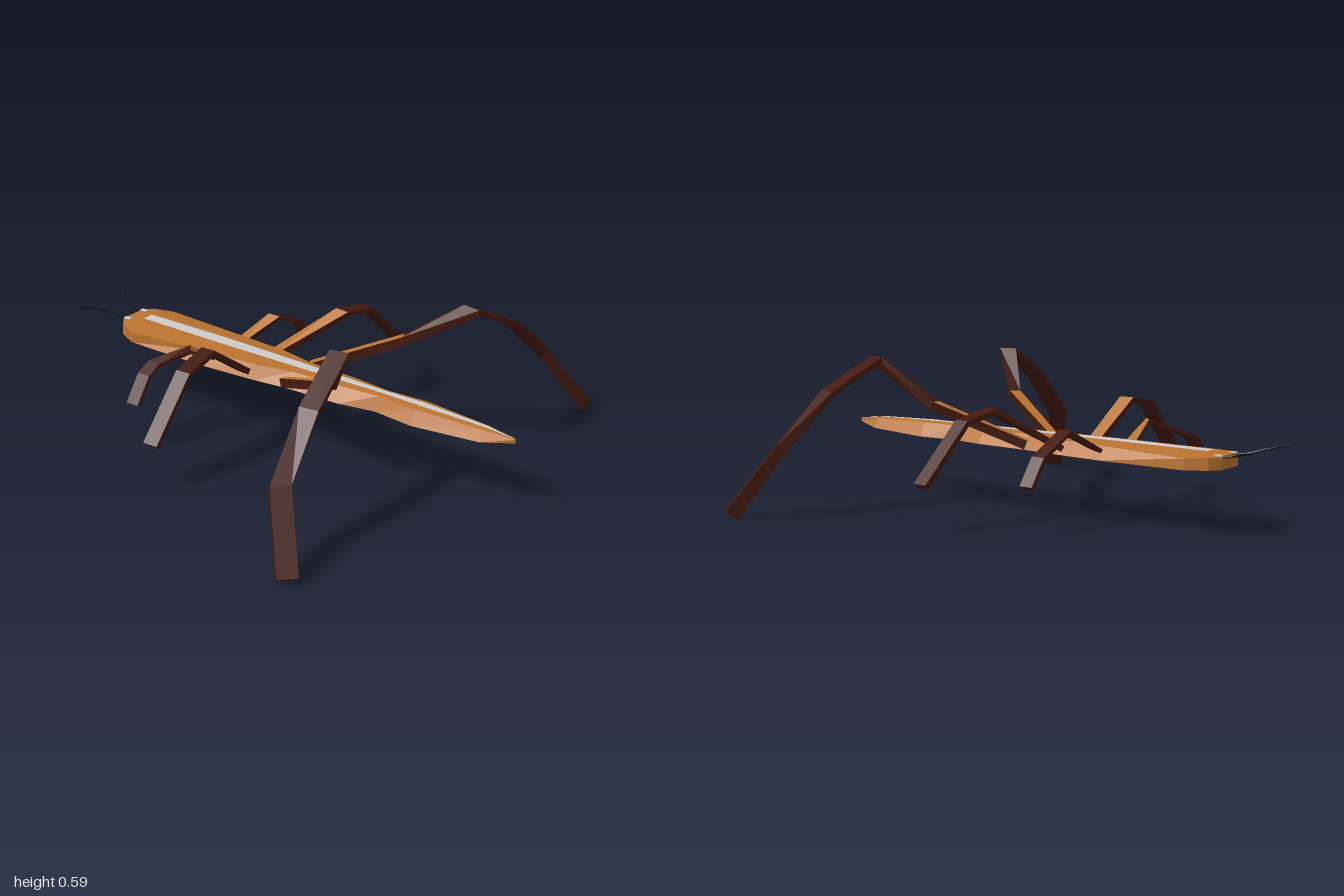
import * as THREE from 'three';

const V = (x, y, z) => new THREE.Vector3(x, y, z);
const material = (color) => new THREE.MeshStandardMaterial({ color, flatShading: true, side: THREE.DoubleSide });
const amber = material(0xb9722f);
const darkBrown = material(0x43190f);
const black = material(0x0c0c0c);
const grey = material(0xcccccc);

// Flat-faced skin over rows of points (all rows the same length)
function skin(name, rows, mat) {
  const pos = [];
  for (let i = 0; i < rows.length - 1; i++) {
    for (let j = 0; j < rows[i].length - 1; j++) {
      const a = rows[i][j], b = rows[i][j + 1], c = rows[i + 1][j], d = rows[i + 1][j + 1];
      for (const p of [a, b, c, b, d, c]) pos.push(p.x, p.y, p.z);
    }
  }
  const geometry = new THREE.BufferGeometry();
  geometry.setAttribute('position', new THREE.Float32BufferAttribute(pos, 3));
  geometry.computeVertexNormals();
  const mesh = new THREE.Mesh(geometry, mat);
  mesh.name = name;
  return mesh;
}

// Body stations: z, half width below, half width of ridge, bottom y, ridge y, crown y
const STATIONS = [
  [-0.83, 0.06, 0.06, 0.247, 0.295, 0.297],
  [-0.80, 0.10, 0.097, 0.247, 0.293, 0.299],
  [-0.72, 0.135, 0.132, 0.245, 0.288, 0.303],
  [-0.35, 0.135, 0.103, 0.245, 0.295, 0.304],
  [-0.10, 0.115, 0.085, 0.245, 0.298, 0.304],
  [0.05, 0.095, 0.055, 0.245, 0.300, 0.304],
  [0.28, 0.085, 0.045, 0.245, 0.300, 0.304],
  [0.43, 0.055, 0.030, 0.245, 0.300, 0.304],
  [0.60, 0.072, 0.042, 0.245, 0.300, 0.304],
  [0.88, 0.045, 0.022, 0.254, 0.293, 0.297],
  [1.00, 0.002, 0.001, 0.270, 0.284, 0.286],
];

function makeBody() {
  const body = new THREE.Group();
  body.name = 'body';
  const shell = STATIONS.map(([z, w, r, y0, y1, y2]) => [
    V(w, y0, z), V(r, y1, z), V(r * 0.4, y2, z), V(-r * 0.4, y2, z), V(-r, y1, z), V(-w, y0, z),
  ]);
  body.add(skin('bodyShell', shell, amber));
  body.add(skin('underside', STATIONS.map(([z, w, , y]) => [V(-w, y, z), V(w, y, z)]), grey));
  const [z, w, r, y0, y1, y2] = STATIONS[0];
  body.add(skin('headFront', [
    [V(w, y0, z), V(r * 0.4, y0, z), V(-r * 0.4, y0, z), V(-w, y0, z)],
    [V(r, y1, z), V(r * 0.4, y2, z), V(-r * 0.4, y2, z), V(-r, y1, z)],
  ], amber));
  // Pale stripe along the back: z, half width, y
  const stripe = [[-0.75, 0.025, 0.305], [-0.35, 0.028, 0.307], [0.05, 0.022, 0.307], [0.43, 0.012, 0.307],
    [0.6, 0.016, 0.307], [0.88, 0.008, 0.3], [1, 0.001, 0.288]];
  body.add(skin('backStripe', stripe.map(([sz, h, y]) => [V(h, y, sz), V(-h, y, sz)]), grey));
  return body;
}

// Leg: joints are [x, y, z, half width, half thickness] from body to foot
function makeLeg(name, joints) {
  const leg = new THREE.Group();
  leg.name = name;
  const p = joints.map(([x, y, z]) => V(x, y, z));
  const last = p.length - 1;
  const direction = (i) => p[i + 1].clone().sub(p[i]).normalize();
  let side, up;
  const rings = joints.map(([, , , w, h], i) => {
    const out = direction(Math.min(i, last - 1));
    const t = direction(Math.max(i - 1, 0)).add(out).normalize();
    side = out.clone().cross(V(0, 1, 0)).normalize();
    up = side.clone().cross(t).normalize();
    const corner = (a, b) => p[i].clone().addScaledVector(side, a * w).addScaledVector(up, b * h);
    return [corner(-1, 1), corner(1, 1), corner(1, -1), corner(-1, -1)];
  });
  // The thigh has an amber upper face, everything else is dark
  leg.add(skin('thighTop', rings.slice(0, 2).map((r) => r.slice(0, 2)), amber));
  leg.add(skin('thigh', rings.slice(0, 2).map((r) => [r[1], r[2], r[3], r[0]]), darkBrown));
  leg.add(skin('shin', rings.slice(1).map((r) => [...r, r[0]]), darkBrown));
  const f = rings[last];
  leg.add(skin('footEnd', [[f[3], f[0]], [f[2], f[1]]], darkBrown));
  return leg;
}

const LEGS = {
  leftHindLeg: [[0.09, 0.265, 0.03, 0.017, 0.018], [0.255, 0.41, 0.36, 0.022, 0.018], [0.31, 0.58, 0.615, 0.038, 0.012],
    [0.54, 0.465, 0.655, 0.038, 0.01], [0.755, 0.27, 0.693, 0.038, 0.022], [0.895, 0.02, 0.825, 0.038, 0.027]],
  rightHindLeg: [[-0.09, 0.265, 0.03, 0.017, 0.018], [-0.25, 0.41, 0.36, 0.022, 0.018], [-0.31, 0.58, 0.44, 0.038, 0.012],
    [-0.54, 0.465, 0.48, 0.038, 0.01], [-0.755, 0.27, 0.515, 0.038, 0.022], [-0.895, 0.02, 0.65, 0.038, 0.027]],
  leftMiddleLeg: [[0.105, 0.27, -0.15, 0.028, 0.012], [0.305, 0.42, 0.025, 0.031, 0.01],
    [0.46, 0.39, 0.04, 0.031, 0.01], [0.67, 0.177, 0.06, 0.031, 0.012]],
  rightMiddleLeg: [[-0.105, 0.27, -0.155, 0.028, 0.012], [-0.305, 0.42, -0.17, 0.031, 0.01],
    [-0.46, 0.39, -0.16, 0.031, 0.01], [-0.67, 0.177, -0.147, 0.031, 0.012]],
  leftFrontLeg: [[0.1, 0.275, -0.325, 0.025, 0.008], [0.225, 0.355, -0.258, 0.028, 0.007],
    [0.385, 0.275, -0.258, 0.028, 0.008], [0.455, 0.175, -0.258, 0.028, 0.01]],
  rightFrontLeg: [[-0.1, 0.275, -0.325, 0.025, 0.008], [-0.225, 0.355, -0.325, 0.028, 0.007],
    [-0.325, 0.303, -0.427, 0.028, 0.008], [-0.385, 0.275, -0.428, 0.028, 0.008], [-0.455, 0.175, -0.428, 0.028, 0.01]],
};

export function createModel() {
  const model = new THREE.Group();
  model.name = 'stickInsect';
  model.add(makeBody());
  for (const [name, joints] of Object.entries(LEGS)) model.add(makeLeg(name, joints));

  for (const s of [1, -1]) {
    // Curved feeler
    const path = new THREE.CatmullRomCurve3([
      V(s * 0.05, 0.29, -0.8), V(s * 0.048, 0.297, -0.87), V(s * 0.085, 0.318, -0.945), V(s * 0.135, 0.33, -1),
    ]);
    const antenna = new THREE.Mesh(new THREE.TubeGeometry(path, 10, 0.004, 5), black);
    antenna.name = s > 0 ? 'leftAntenna' : 'rightAntenna';
    model.add(antenna);
    // Small pale eye at its base
    const eye = new THREE.Mesh(new THREE.BoxGeometry(0.018, 0.012, 0.03), grey);
    eye.position.set(s * 0.05, 0.294, -0.815);
    eye.name = s > 0 ? 'leftEye' : 'rightEye';
    model.add(eye);
  }
  return model;
}
